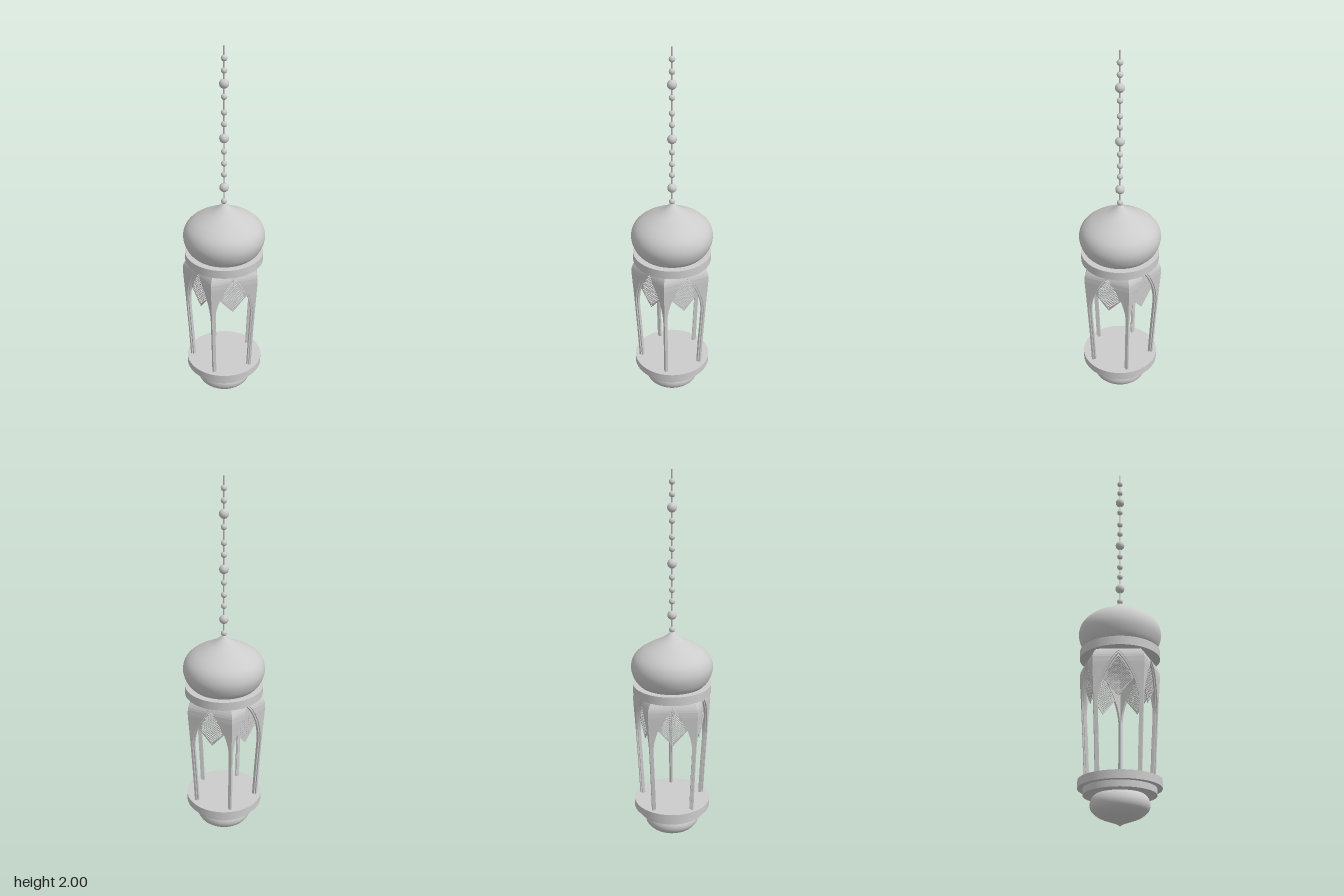
import * as THREE from 'three';

const SIDES = 5, HALF = Math.PI / SIDES;
const BASE_Y = 0.215, TOP_Y = 0.855, SPRING_Y = 0.57;
const material = new THREE.MeshStandardMaterial({ color: 0xcccccc, side: THREE.DoubleSide });

function add(parent, geometry, name, y = 0) {
  const mesh = new THREE.Mesh(geometry, material);
  mesh.name = name;
  mesh.position.y = y;
  parent.add(mesh);
  return mesh;
}

// Corner radius of the five-sided cage by height
const PROFILE = [[0.2, 0.184], [0.4, 0.194], [0.6, 0.206], [0.7, 0.213], [0.77, 0.218],
  [0.8, 0.217], [0.82, 0.212], [0.84, 0.198], [0.86, 0.178]];
function faceDistance(y) {
  let i = 0;
  while (i < PROFILE.length - 2 && y > PROFILE[i + 1][0]) i++;
  const [y0, r0] = PROFILE[i], [y1, r1] = PROFILE[i + 1];
  return (r0 + (r1 - r0) * (y - y0) / (y1 - y0)) * Math.cos(HALF);
}

// Half width of the pointed arch opening by height
function opening(y, inset, apex) {
  const leg = faceDistance(Math.min(y, SPRING_Y)) * Math.tan(HALF) - inset;
  const t = Math.max(0, (y - SPRING_Y) / (apex - SPRING_Y));
  return Math.max(0, leg * (1 - Math.pow(t, 1.9)));
}

// Arch frame: two mirrored legs swept upwards, meeting above the apex
function archGeometry(inset, apex, recess, depth) {
  const rows = [BASE_Y, 0.3, 0.4, 0.5, SPRING_Y];
  for (let i = 1; i <= 20; i++) rows.push(SPRING_Y + (apex - SPRING_Y) * i / 20);
  rows.push((apex + TOP_Y) / 2, TOP_Y);
  const position = [], index = [];
  for (const s of [1, -1]) {
    const start = position.length / 3;
    rows.forEach((y, r) => {
      const front = faceDistance(y) - recess, back = front - depth;
      const w = opening(y, inset, apex), k = Math.tan(HALF);
      for (const [x, z] of [[w, front], [front * k, front], [back * k, back], [Math.min(w, back * k), back]]) {
        position.push(s * x, y, z);
      }
      if (r === 0) return;
      for (let c = 0; c < 4; c++) {
        const a = start + (r - 1) * 4 + c, b = start + (r - 1) * 4 + (c + 1) % 4;
        if (s > 0) index.push(a, b, b + 4, a, b + 4, a + 4);
        else index.push(a, b + 4, b, a, a + 4, b + 4);
      }
    });
  }
  const geometry = new THREE.BufferGeometry();
  geometry.setAttribute('position', new THREE.Float32BufferAttribute(position, 3));
  geometry.setIndex(index);
  const flat = geometry.toNonIndexed();
  flat.computeVertexNormals();
  return flat;
}

// Pierced screen: arch-shaped top, V-shaped bottom, rows of diamond holes
function screenGeometry() {
  const apex = 0.822, tip = 0.6, side = 0.69, inset = 0.02, pitch = 0.012, hole = 0.0043;
  const halfWidth = y => (y < side
    ? opening(side, inset, apex) * (y - tip) / (side - tip)
    : opening(y, inset, apex));
  const right = [];
  for (let i = 0; i <= 12; i++) {
    const y = side + (apex - side) * i / 12;
    right.push(new THREE.Vector2(halfWidth(y), y));
  }
  const left = right.slice(0, -1).reverse().map(p => new THREE.Vector2(-p.x, p.y));
  const shape = new THREE.Shape([new THREE.Vector2(0, tip), ...right, ...left]);
  for (let row = 0, y = tip + 0.012; y < apex - 0.012; row++, y += pitch / 2) {
    const limit = Math.min(halfWidth(y - hole), halfWidth(y + hole)) - hole - 0.002;
    for (let n = -9; n <= 9; n++) {
      const x = (n + (row % 2) / 2) * pitch;
      if (Math.abs(x) > limit) continue;
      shape.holes.push(new THREE.Path([
        new THREE.Vector2(x, y - hole), new THREE.Vector2(x - hole, y),
        new THREE.Vector2(x, y + hole), new THREE.Vector2(x + hole, y)]));
    }
  }
  const geometry = new THREE.ExtrudeGeometry(shape, { depth: 0.004, bevelEnabled: false });
  const p = geometry.attributes.position;
  for (let i = 0; i < p.count; i++) p.setZ(i, p.getZ(i) + faceDistance(p.getY(i)) - 0.019);
  geometry.computeVertexNormals();
  return geometry;
}

// Smooth turned form through a few profile points
function turned(points) {
  const curve = new THREE.SplineCurve(points.map(([x, y]) => new THREE.Vector2(x, y)));
  const profile = curve.getPoints(48).map(p => new THREE.Vector2(Math.max(0, p.x), p.y));
  return new THREE.LatheGeometry(profile, 64);
}

function disc(parent, name, bottom, top, rBottom, rTop = rBottom) {
  add(parent, new THREE.CylinderGeometry(rTop, rBottom, top - bottom, 64), name, (bottom + top) / 2);
}

export function createModel() {
  const lantern = new THREE.Group();
  lantern.name = 'hangingLantern';

  // Base
  add(lantern, turned([[0, 0], [0.02, 0.012], [0.06, 0.027], [0.105, 0.045], [0.137, 0.072],
    [0.146, 0.1], [0.138, 0.128], [0.118, 0.15]]), 'bottomFinial');
  disc(lantern, 'baseStep', 0.146, 0.178, 0.18);
  disc(lantern, 'baseRing', 0.178, 0.219, 0.206);

  // Five arched sides
  const cage = new THREE.Group();
  cage.name = 'archedCage';
  cage.position.z = -0.003;
  lantern.add(cage);
  const frame = archGeometry(0.011, 0.84, 0, 0.012);
  const moulding = archGeometry(0.019, 0.826, 0.007, 0.014);
  const screen = screenGeometry();
  for (let i = 0; i < SIDES; i++) {
    const side = new THREE.Group();
    side.name = 'archedSide';
    side.rotation.y = HALF * (2 * i + 1);
    add(side, frame, 'archFrame');
    add(side, moulding, 'archMoulding');
    add(side, screen, 'latticeScreen');
    cage.add(side);
  }

  // Roof
  disc(lantern, 'roofRing', 0.85, 0.896, 0.206);
  add(lantern, turned([[0.165, 0.89], [0.193, 0.921], [0.211, 0.965], [0.213, 1.005], [0.198, 1.045],
    [0.163, 1.08], [0.11, 1.112], [0.06, 1.138], [0.025, 1.162], [0, 1.185]]), 'onionDome');

  // Beaded chain
  add(lantern, new THREE.CylinderGeometry(0.004, 0.004, 0.84, 12), 'chainWire', 1.58);
  const small = new THREE.SphereGeometry(0.0155, 20, 14);
  const large = new THREE.SphereGeometry(0.024, 24, 16);
  for (const y of [1.19, 1.34, 1.4, 1.465, 1.61, 1.67, 1.75, 1.88, 1.94]) add(lantern, small, 'smallBead', y);
  for (const y of [1.267, 1.535, 1.815]) add(lantern, large, 'largeBead', y);

  return lantern;
}
